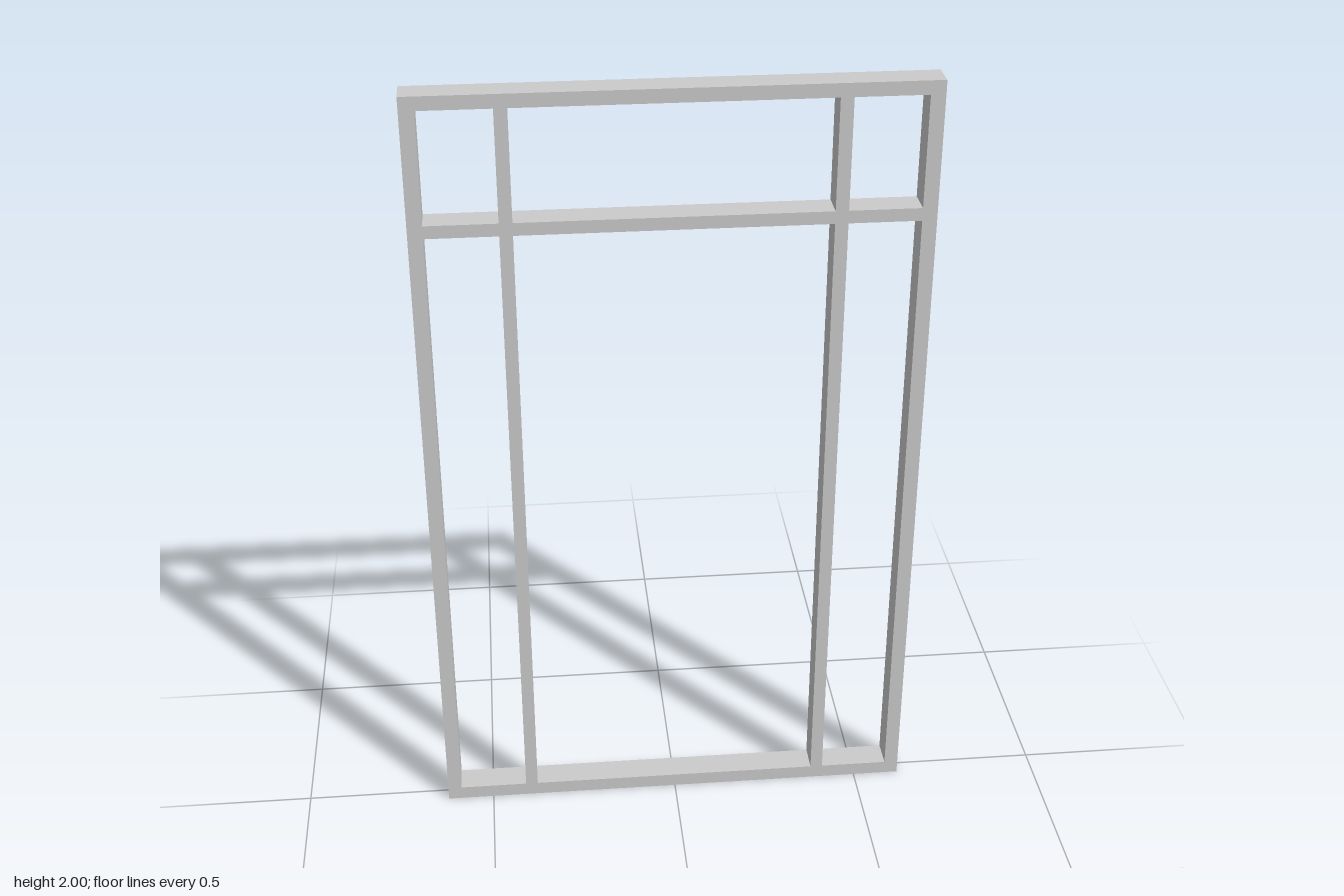
import * as THREE from 'three';

const HALF_W = 0.622, HEIGHT = 2, DEPTH = 0.074;

// Rectangle outline from two opposite corners
function rect(PathType, x0, y0, x1, y1) {
  return new PathType([[x0, y0], [x1, y0], [x1, y1], [x0, y1]].map(([x, y]) => new THREE.Vector2(x, y)));
}

export function createModel() {
  const group = new THREE.Group();
  group.name = 'windowFrame';

  // Openings left between the outer frame, the two mullions and the transom
  const columns = [[-0.586, -0.41], [-0.378, 0.378], [0.41, 0.586]];
  const rows = [[0.036, 1.657], [1.689, 1.966]];

  const outline = rect(THREE.Shape, -HALF_W, 0, HALF_W, HEIGHT);
  for (const [x0, x1] of columns) {
    for (const [y0, y1] of rows) outline.holes.push(rect(THREE.Path, x0, y0, x1, y1));
  }

  // One flush frame, centred in depth
  const geometry = new THREE.ExtrudeGeometry(outline, { depth: DEPTH, bevelEnabled: false });
  geometry.translate(0, 0, -DEPTH / 2);
  const frame = new THREE.Mesh(geometry, new THREE.MeshStandardMaterial({ color: 0xcccccc, flatShading: true }));
  frame.name = 'frameWithMullionsAndTransom';
  group.add(frame);
  return group;
}
